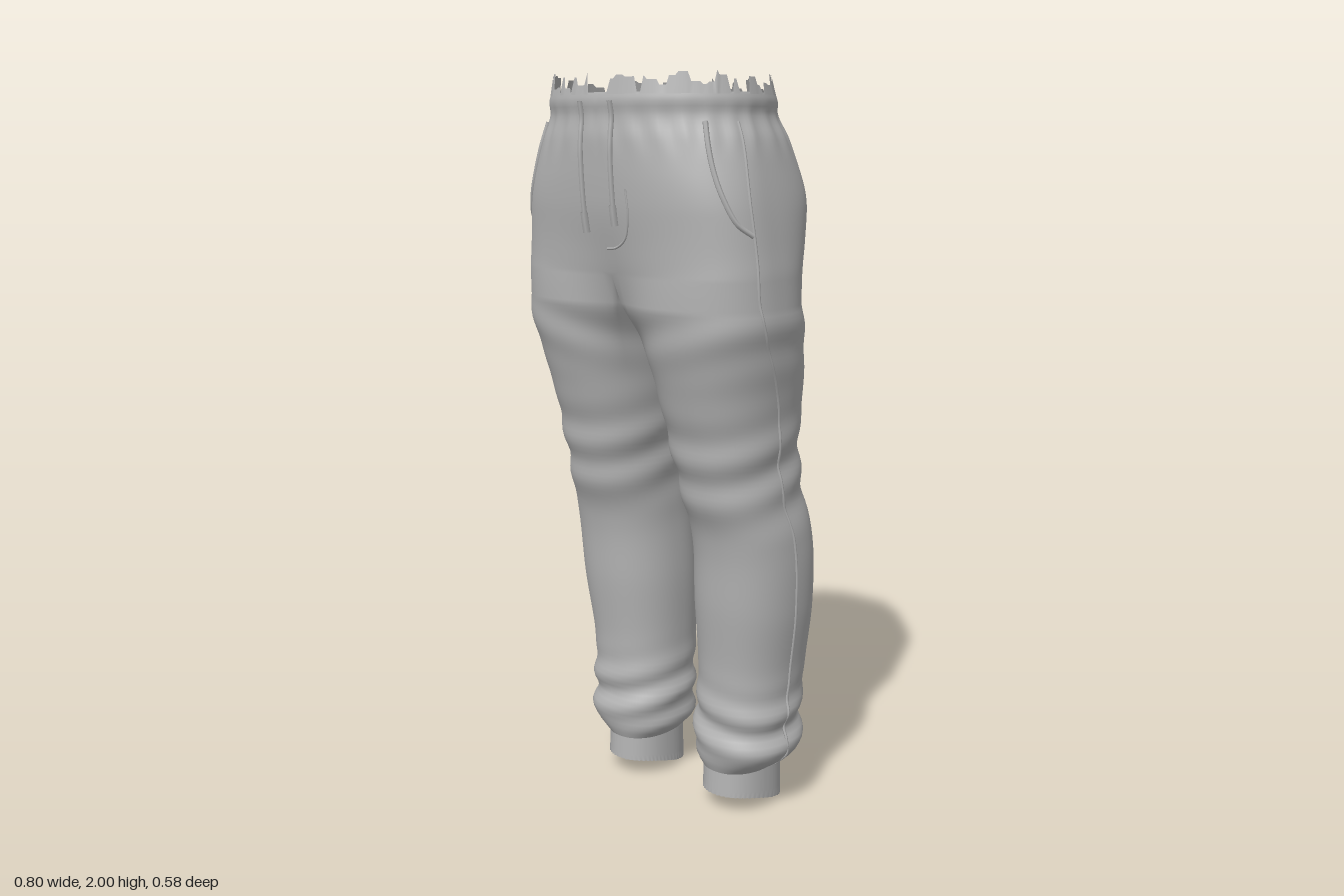
import * as THREE from 'three';
import { mergeGeometries, mergeVertices } from 'three/addons/utils/BufferGeometryUtils.js';

const { lerp, smoothstep } = THREE.MathUtils;

// Body outline by height: y, outer x, inner x, front z, back z
const OUTLINE = [
  0.12, 0.275, 0.088, 0.022, -0.222,
  0.16, 0.328, 0.058, 0.040, -0.254,
  0.25, 0.334, 0.055, 0.038, -0.250,
  0.40, 0.336, 0.060, 0.036, -0.268,
  0.60, 0.360, 0.057, 0.058, -0.275,
  0.80, 0.364, 0.064, 0.080, -0.258,
  0.92, 0.350, 0.060, 0.120, -0.228,
  1.04, 0.353, 0.045, 0.146, -0.208,
  1.20, 0.368, 0.022, 0.190, -0.215,
  1.32, 0.388, 0.010, 0.226, -0.200,
  1.42, 0.395, 0.004, 0.252, -0.190,
  1.50, 0.391, 0.002, 0.258, -0.202,
  1.58, 0.382, 0.000, 0.264, -0.245,
  1.68, 0.368, 0.000, 0.274, -0.288,
  1.76, 0.352, 0.000, 0.281, -0.291,
  1.84, 0.332, 0.000, 0.284, -0.276,
  1.90, 0.309, 0.000, 0.280, -0.252,
  1.93, 0.312, 0.000, 0.285, -0.250,
  1.96, 0.304, 0.000, 0.279, -0.236,
  2.00, 0.298, 0.000, 0.275, -0.222,
];
const pick = (k) => OUTLINE.filter((_, i) => i % 5 === k);
const ys = pick(0);
const tracks = [1, 2, 3, 4].map((k) => new THREE.CubicInterpolant(ys, pick(k), 1, new Float32Array(1)));
const outline = (y) => tracks.map((c) => c.evaluate(y)[0]);

const CROTCH = 1.5, OPEN = 0.9;            // OPEN: how far the outer arc wraps to the inner thigh
const SWEEP = Math.PI + 2 * OPEN;
const T_END = (2 * Math.PI) / SWEEP;       // t = 0..1 is the outer arc, 1..T_END the inner thigh
const OUTER = 72, INNER = 24;
const spow = (v, p) => Math.sign(v) * Math.abs(v) ** p;
const bump = (y, c, w) => Math.exp(-(((y - c) / w) ** 2));

// Cross-section of one thigh/leg blended into half of the hips
function section(y, t, w) {
  const [out, inn, front, back] = outline(y);
  const cx = (out + inn) / 2, mid = (front + back) / 2, zm = lerp(mid, 0.06, w);
  const a = -OPEN + t * SWEEP, h = Math.PI * Math.min(t, 1);
  const p = lerp(0.76, 1, smoothstep(y, 1.66, 1.92));
  const depth = (c) => (c > 0 ? front - zm : zm - back);
  const x = lerp(cx + ((out - inn) / 2) * spow(Math.sin(a), 0.9), out * spow(Math.max(0, Math.sin(h)), p), w);
  const z = zm + lerp(depth(Math.cos(a)) * spow(Math.cos(a), 0.9), depth(Math.cos(h)) * spow(Math.cos(h), p), w);
  // Cloth folds at ankle, knee and seat, gathers below the waistband
  const d = 0.009 * bump(y, 0.25, 0.09) * Math.sin(62 * y + 2.2 * Math.sin(a + 0.6))
    + 0.006 * bump(y, 1.0, 0.12) * Math.sin(48 * y + 2.6 * Math.cos(a))
    + 0.004 * bump(y, 1.38, 0.1) * Math.sin(44 * y - 3 * Math.sin(a))
    + 0.003 * bump(y, 1.86, 0.045) * Math.sin(t * 82);
  const dx = x - cx * (1 - w), dz = z - zm, len = Math.hypot(dx, dz) || 1;
  return [x + (d * dx) / len, z + (d * dz) / len, out];
}

function surface(y, t) {
  const w = smoothstep(y, 1.22, 1.7);
  if (t > 1) {
    // Inner thigh joins the two ends of the outer arc
    const s = (t - 1) / (T_END - 1);
    const [x, z] = section(y, t, 0);
    const shift = (e) => {
      const q = surface(y, e), l = section(y, e, 0);
      return [q.x - l[0], q.z - l[1]];
    };
    const a = shift(1), b = shift(0);
    return new THREE.Vector3(Math.max(0.003, x + lerp(a[0], b[0], s)), y, z + lerp(a[1], b[1], s));
  }
  const [x, z, out] = section(y, t, w);
  const k = smoothstep(y, 1.38, CROTCH);
  const edge = lerp(section(y, 0, w)[0], section(y, 1, w)[0], t);
  const px = x - k * edge * Math.max(0, 1 - (x - edge) / (out - edge));
  return new THREE.Vector3(y >= CROTCH && (t === 0 || t === 1) ? 0 : px, y, z);
}

// Skin a list of equal-length point rows; side = -1 mirrors it
function loft(rows, side = 1) {
  const n = rows[0].length, index = [];
  for (let r = 0; r < rows.length - 1; r++) for (let i = 0; i < n - 1; i++) {
    const a = r * n + i, b = a + 1, c = b + n, d = a + n;
    index.push(...(side > 0 ? [a, b, c, a, c, d] : [a, c, b, a, d, c]));
  }
  const g = new THREE.BufferGeometry();
  const flat = rows.flat().flatMap((p) => [p.x * side, p.y, p.z]);
  g.setAttribute('position', new THREE.Float32BufferAttribute(flat, 3));
  g.setIndex(index);
  return g;
}
function smooth(parts) {
  const g = mergeVertices(mergeGeometries(parts), 1e-5);
  g.computeVertexNormals();
  return g;
}

const outerTs = Array.from({ length: OUTER + 1 }, (_, i) => i / OUTER);
const ringTs = [...outerTs, ...Array.from({ length: INNER }, (_, i) => 1 + ((T_END - 1) * (i + 1)) / INNER)];
const heights = (a, b, n) => Array.from({ length: n + 1 }, (_, i) => lerp(a, b, i / n));
const legRing = (y) => {
  const ring = ringTs.map((t) => surface(y, t));
  ring[ring.length - 1] = ring[0].clone();
  return ring;
};

function legRows() {
  const rows = heights(0.12, 1.43, 84).map(legRing);
  // Top ring: the inner thigh becomes the crotch seam
  const top = outerTs.map((t) => surface(CROTCH, t));
  const back = top[OUTER], front = top[0];
  for (let i = 1; i <= INNER; i++) {
    const s = i / INNER;
    top.push(new THREE.Vector3(0, CROTCH - 0.04 * Math.sin(Math.PI * s), lerp(back.z, front.z, s)));
  }
  top[top.length - 1] = front.clone();
  return [...rows, top];
}

function cuffRows() {
  const ring = legRing(0.12);
  const c = new THREE.Vector3(0.181, 0, -0.1);
  const bottom = (z) => Math.max(0, 0.05 * smoothstep(z, -0.222, 0.022));
  const rows = heights(0, 1, 5).map((v) => ring.map((p, i) => {
    const grow = 1 + (i % 2 ? -0.018 : 0.012) - 0.03 * v;
    const x = c.x + (p.x - c.x) * grow, z = c.z + (p.z - c.z) * grow;
    return new THREE.Vector3(x, lerp(bottom(z), 0.135, v), z);
  }));
  const centre = new THREE.Vector3(c.x, 0.024, c.z);
  return { rows, cap: [rows[0].map(() => centre), rows[0]] };
}

// Arc position on the front half of the hips for a given x
function tAtX(y, x) {
  let lo = 0, hi = 0.5;
  for (let i = 0; i < 24; i++) {
    const m = (lo + hi) / 2;
    if (surface(y, m).x < x) lo = m; else hi = m;
  }
  return lo;
}

export function createModel() {
  const group = new THREE.Group();
  const cloth = new THREE.MeshStandardMaterial({ color: 0xb4b4b4, side: THREE.DoubleSide });
  cloth.name = 'grey cloth';
  const add = (name, geometry) => {
    const mesh = new THREE.Mesh(geometry, cloth);
    mesh.name = name;
    group.add(mesh);
  };
  const cord = (name, points, radius) =>
    add(name, new THREE.TubeGeometry(new THREE.CatmullRomCurve3(points), points.length * 6, radius, 6));
  const onFront = (x, y, side, lift = 0) => {
    const p = surface(y, tAtX(y, x));
    return new THREE.Vector3(p.x * side, y, p.z + lift);
  };

  // Hips and legs in one smooth skin
  const hips = heights(CROTCH, 1.95, 40).map((y) => outerTs.map((t) => surface(y, t)));
  const legs = legRows();
  add('trousers', smooth([1, -1].flatMap((s) => [loft(hips, s), loft(legs, s)])));

  // Torn upper edge of the waistband
  let seed = 7;
  const rand = () => (seed = (seed * 16807) % 2147483647) / 2147483647;
  for (const side of [1, -1]) {
    const ts = heights(0, 1, 110);
    let h = 0.03, hold = 0;
    const top = ts.map((t) => {
      if (hold-- <= 0) { h = rand() < 0.3 ? 0.004 : 0.015 + 0.04 * rand(); hold = Math.floor(rand() * 4); }
      return surface(Math.min(2, 1.945 + h), t);
    });
    top[40].y = 2;
    add(side > 0 ? 'leftWaistEdge' : 'rightWaistEdge', smooth([loft([ts.map((t) => surface(1.945, t)), top], side)]));
  }

  const cuff = cuffRows();
  for (const side of [1, -1]) {
    const label = side > 0 ? 'left' : 'right';
    add(label + 'Cuff', smooth([loft(cuff.rows, side)]));
    add(label + 'CuffEnd', smooth([loft(cuff.cap, side)]));

    // Side seam and pocket opening
    cord(label + 'SideSeam', heights(0.14, 1.88, 44).map((y) => {
      const p = surface(y, lerp(0.49, 0.43, smoothstep(y, 1.1, 1.5)));
      return p.setX(p.x * side);
    }), 0.004);
    const pocket = [[0.265, 1.88], [0.283, 1.82], [0.302, 1.76], [0.325, 1.7], [0.35, 1.64], [0.37, 1.61]];
    cord(label + 'Pocket', pocket.map(([x, y]) => onFront(x, y, side)), 0.007);

    // Drawstring with a thicker tip
    const end = side > 0 ? 1.63 : 1.61;
    cord(label + 'Drawstring', heights(1.93, end, 8).map((y) => onFront(0.05, y, side, 0.004)), 0.007);
    cord(label + 'DrawstringTip', heights(end + 0.05, end, 2).map((y) => onFront(0.05, y, side, 0.005)), 0.01);
  }

  // Curved fly stitching
  const fly = [[0.09, 1.72], [0.092, 1.66], [0.075, 1.6], [0.04, 1.575], [0.005, 1.57]];
  cord('flyStitch', fly.map(([x, y]) => onFront(x, y, 1)), 0.003);
  return group;
}
